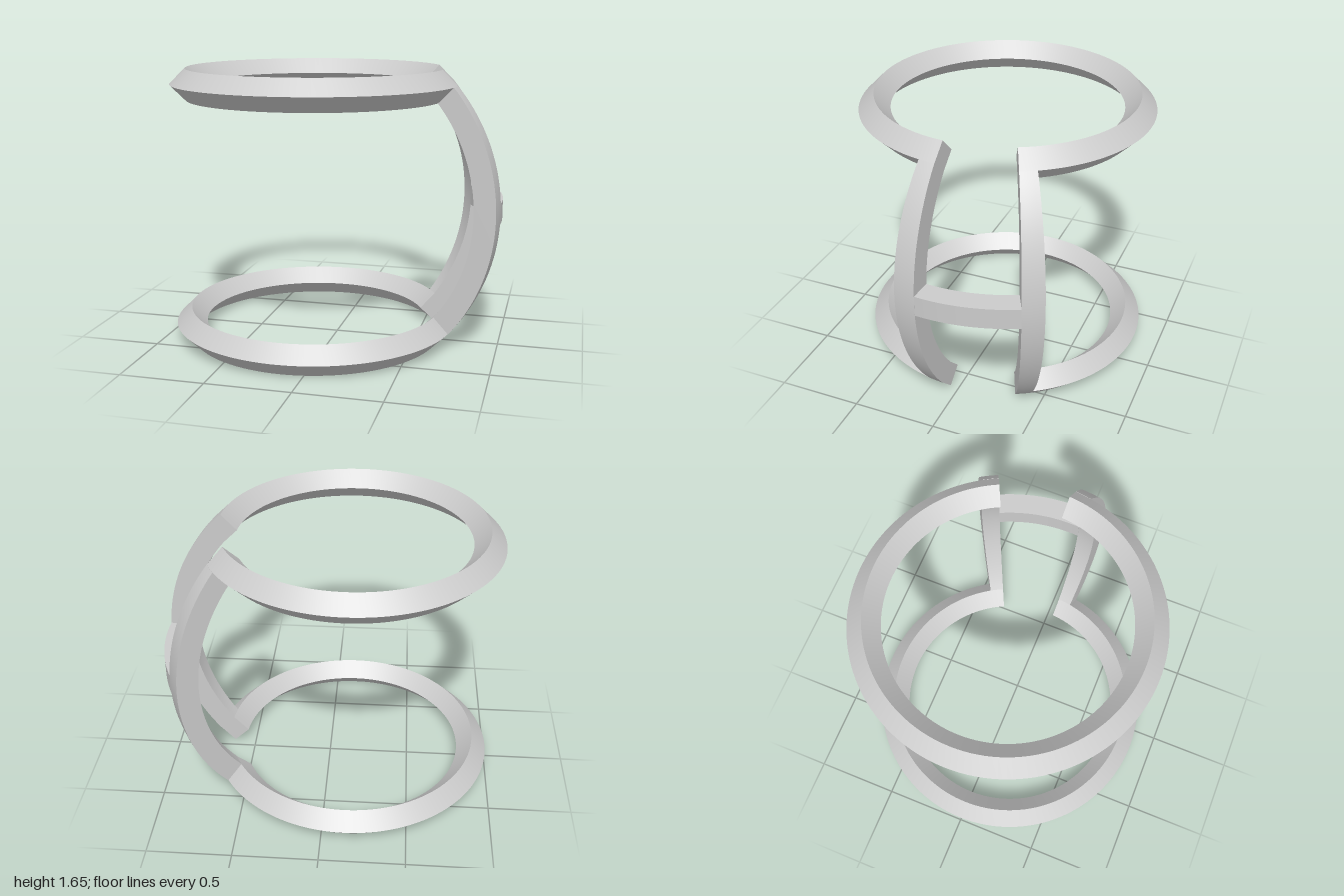
import * as THREE from 'three';
import { mergeGeometries, toCreasedNormals } from 'three/addons/utils/BufferGeometryUtils.js';

const CENTER_X = -0.135;
const MID_Y = 0.824;
const RING_R = 0.774; // centre of the square ring section
const HALF = 0.092;   // half diagonal of that section
const rad = THREE.MathUtils.degToRad;

// Flat end face of a revolved section at angle phi
function cap(points, phi, flip) {
  const geo = new THREE.ShapeGeometry(new THREE.Shape(points));
  if (flip) geo.index.array.reverse();
  return geo.rotateY(phi - Math.PI / 2);
}

// Revolve a counter-clockwise (radius, y) section between two angles, with closed ends
function revolve(points, fromDeg, toDeg, segments) {
  const from = rad(fromDeg), to = rad(toDeg);
  const side = new THREE.LatheGeometry([...points, points[0].clone()], segments, from, to - from);
  const parts = [side, cap(points, from, false), cap(points, to, true)];
  return toCreasedNormals(mergeGeometries(parts.map((g) => g.toNonIndexed())), 0.5);
}

// Points from a to b on an arc centred on the vertical axis at mid height
function arc(radius, a, b, steps) {
  return Array.from({ length: steps + 1 }, (_, i) => {
    const t = a + ((b - a) * i) / steps;
    return new THREE.Vector2(radius * Math.cos(t), MID_Y + radius * Math.sin(t));
  });
}

export function createModel() {
  const group = new THREE.Group();
  group.name = 'openCuff';
  const material = new THREE.MeshStandardMaterial({ color: 0xcccccc });
  const add = (name, geometry) => {
    const mesh = new THREE.Mesh(geometry, material);
    mesh.name = name;
    mesh.position.x = CENTER_X;
    group.add(mesh);
  };

  // Open rings with a diamond section
  const diamond = (y) => [
    new THREE.Vector2(RING_R, y - HALF),
    new THREE.Vector2(RING_R + HALF, y),
    new THREE.Vector2(RING_R, y + HALF),
    new THREE.Vector2(RING_R - HALF, y),
  ];
  add('bottomRing', revolve(diamond(HALF), 115.7, 446, 128));
  add('topRing', revolve(diamond(2 * MID_Y - HALF), 115.7, 446, 128));

  // Bowed struts joining the ring ends
  const outerEnd = Math.atan2(MID_Y - HALF, RING_R + HALF);
  const innerEnd = Math.atan2(MID_Y - 2 * HALF, RING_R);
  const bow = [
    ...arc(1.135, -outerEnd, outerEnd, 40),
    ...arc(1.003, innerEnd, -innerEnd, 40),
  ];
  add('frontStrut', revolve(bow, 79.6, 86, 4));
  add('backStrut', revolve(bow, 115.7, 122.1, 4));

  // Curved bar between the struts
  const bar = [[1.0, -0.062], [1.133, -0.062], [1.133, 0.062], [1.0, 0.062]]
    .map(([r, y]) => new THREE.Vector2(r, MID_Y + y));
  add('crossbar', revolve(bar, 85.9, 115.8, 24));

  return group;
}
